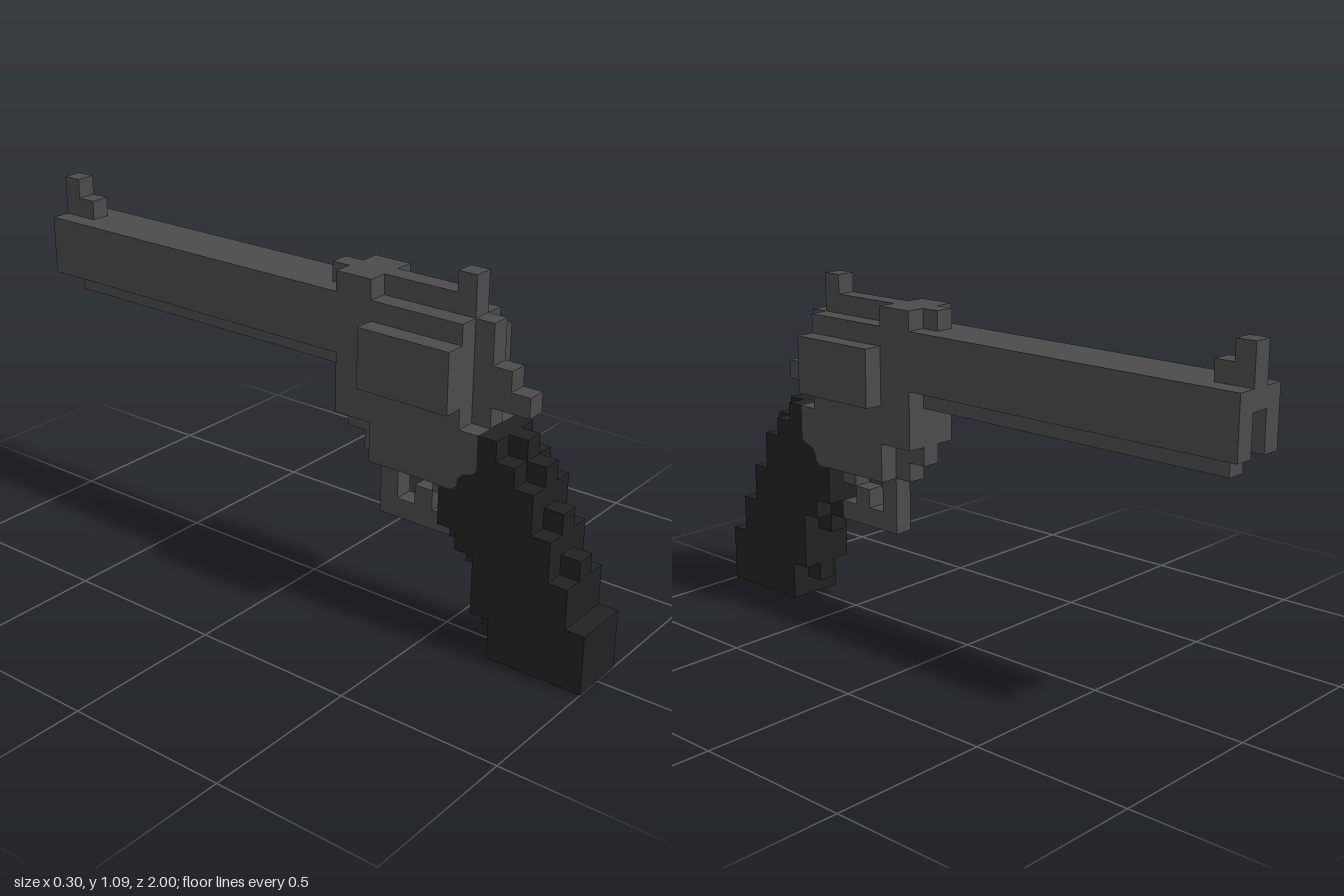
import * as THREE from 'three';

const U = 2 / 33; // one block of the grid

export function createModel() {
  const model = new THREE.Group();
  model.name = 'blockRevolver';
  const steel = new THREE.MeshStandardMaterial({ color: 0x4b4b4b });
  steel.name = 'steel grey';
  const black = new THREE.MeshStandardMaterial({ color: 0x222222 });
  black.name = 'grip black';

  // Side outline in blocks (i from the rear, j from the ground), between x blocks a and b
  const slab = (name, material, points, a = -1.5, b = 1.5) => {
    const shape = new THREE.Shape(points.map(([i, j]) => new THREE.Vector2(i * U, j * U)));
    const geo = new THREE.ExtrudeGeometry(shape, { depth: (b - a) * U, bevelEnabled: false });
    geo.translate(0, 0, a * U).rotateY(Math.PI / 2).translate(0, 0, 1);
    const mesh = new THREE.Mesh(geo, material);
    mesh.name = name;
    model.add(mesh);
  };
  // Box spanning blocks i0..i1 and j0..j1, one block wide by default
  const block = (name, material, [i0, i1, j0, j1], a = -0.5, b = 0.5) => {
    const mesh = new THREE.Mesh(
      new THREE.BoxGeometry((b - a) * U, (j1 - j0) * U, (i1 - i0) * U), material);
    mesh.position.set((a + b) / 2 * U, (j0 + j1) / 2 * U, 1 - (i0 + i1) / 2 * U);
    mesh.name = name;
    model.add(mesh);
  };

  // Rounded seam where the frame meets the grip
  const seam = [[7.3, 8], [7.03, 8.25], [7, 8.6], [6.75, 8.88], [6.2, 9.05], [6, 9.25], [6, 11]];

  // Grip with stepped back and front
  slab('grip', black, [
    [0, 0], [5, 0], [5, 2], [6, 2], [6, 5], [7, 5], [7, 6], [8, 6], [8, 8], ...seam,
    [5, 11], [5, 10], [4, 10], [4, 9], [3, 9], [3, 7], [2, 7], [2, 5], [1, 5], [1, 3], [0, 3],
  ]);
  [[1, 2, 5, 6], [2, 3, 7, 8], [3, 4, 9, 10], [4, 5, 10, 11]]
    .forEach((c) => block('gripBackRidge', black, c));
  [[5, 6, 1, 2], [6, 7, 4, 5], [7, 8, 5, 6]]
    .forEach((c) => block('gripFrontRidge', black, c));

  // Frame and its front underside
  slab('frame', steel, [
    [8, 8], [12, 8], [12, 10], [14, 10], [14, 16], [7, 16], [7, 11], ...[...seam].reverse(),
  ]);
  slab('frameFrontRidge', steel, [[12, 8], [13, 8], [13, 9], [14, 9], [14, 10], [12, 10]], -0.5, 0.5);
  block('cylinder', steel, [7, 12, 12, 15], -2.5, 2.5);

  // Top strap, rear sight and stepped hammer
  block('topStrap', steel, [8, 12, 16, 17]);
  block('topStrapBand', steel, [12, 14, 16, 17], -1.5, 1.5);
  block('topStrapTip', steel, [14, 15, 16, 17]);
  block('rearSight', steel, [7, 8, 16, 18]);
  slab('hammer', steel, [
    [4, 12], [6, 12], [6, 11], [7, 11], [7, 16], [6, 16], [6, 14], [5, 14], [5, 13], [4, 13],
  ], -0.5, 0.5);

  // Barrel with a notched muzzle, rod below and front sight above
  block('barrel', steel, [14, 32, 13, 16], -1.5, 1.5);
  for (const s of [-1, 1]) block('muzzleCheek', steel, [32, 33, 13, 16], s - 0.5, s + 0.5);
  block('muzzleTop', steel, [32, 33, 15, 16]);
  block('ejectorRod', steel, [14, 32, 12, 13]);
  slab('frontSight', steel, [[31, 16], [33, 16], [33, 18], [32, 18], [32, 17], [31, 17]], -0.5, 0.5);

  // Trigger and its guard
  slab('triggerGuard', steel, [[8, 5], [12, 5], [12, 8], [11, 8], [11, 6], [8, 6]], -0.5, 0.5);
  block('triggerRoot', steel, [8, 9, 7, 8]);
  block('trigger', steel, [9, 10, 6, 7]);

  return model;
}
